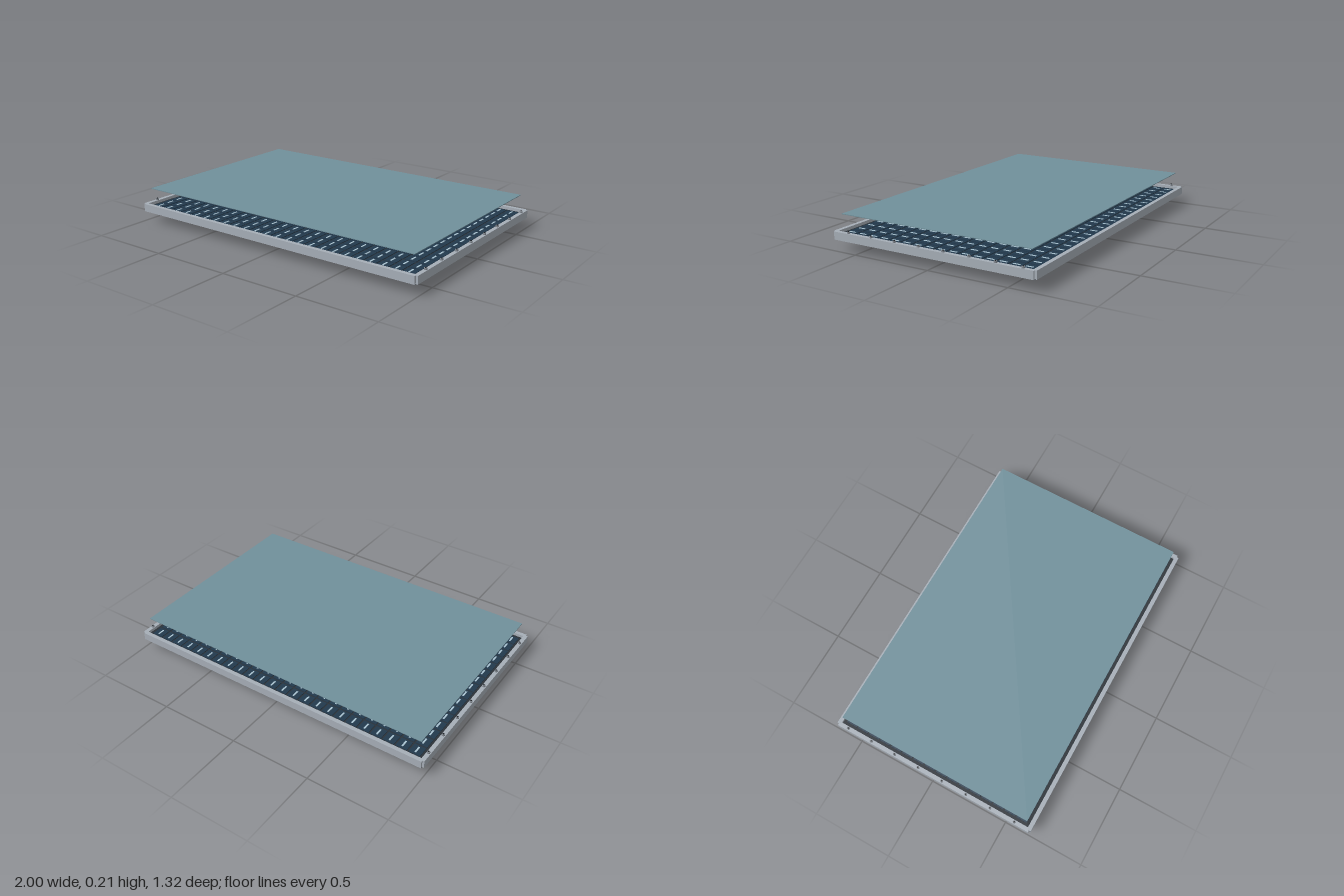
import * as THREE from 'three';
import { mergeGeometries } from 'three/addons/utils/BufferGeometryUtils.js';

const mat = (name, color) => {
  const m = new THREE.MeshStandardMaterial({ color });
  m.name = name;
  return m;
};

export function createModel() {
  const metal = mat('frame aluminium', 0xa6aeb7);
  const glass = mat('teal glass', 0x70909b);
  const dark = mat('dark backing', 0x2b3238);
  const navy = mat('navy cell', 0x22394d);
  const pale = mat('pale contact', 0xa9c3d1);
  const brown = mat('brown board', 0x5a3c26);
  const steel = mat('steel', 0x858c94);
  const black = mat('black plastic', 0x1d2125);
  const copper = mat('copper', 0xa06a3c);

  const model = new THREE.Group();
  const add = (name, geometry, material, parent = model) => {
    const mesh = new THREE.Mesh(geometry, material);
    mesh.name = name;
    parent.add(mesh);
    return mesh;
  };
  // box given by its extents along each axis
  const box = (x0, x1, y0, y1, z0, z1) =>
    new THREE.BoxGeometry(x1 - x0, y1 - y0, z1 - z0)
      .translate((x0 + x1) / 2, (y0 + y1) / 2, (z0 + z1) / 2);
  const cyl = (r, y0, y1, x, z, sides = 12) =>
    new THREE.CylinderGeometry(r, r, y1 - y0, sides).translate(x, (y0 + y1) / 2, z);

  // Raised cover glass
  add('coverGlass', box(-0.96, 0.96, 0.213, 0.217, -0.62, 0.62), glass);

  // Frame: notched outline with an open middle
  const outline = new THREE.Shape([
    [-0.988, -0.66], [0.988, -0.66], [0.988, -0.648], [1, -0.648],
    [1, 0.648], [0.988, 0.648], [0.988, 0.66], [-0.988, 0.66],
    [-0.988, 0.648], [-1, 0.648], [-1, -0.648], [-0.988, -0.648],
  ].map(([x, y]) => new THREE.Vector2(x, y)));
  outline.holes.push(new THREE.Path([
    [-0.975, -0.635], [-0.975, 0.635], [0.975, 0.635], [0.975, -0.635],
  ].map(([x, y]) => new THREE.Vector2(x, y))));
  const frame = new THREE.ExtrudeGeometry(outline, { depth: 0.048, bevelEnabled: false });
  add('frame', frame.rotateX(-Math.PI / 2).translate(0, 0.07, 0), metal);

  // Backing plate and the bed that carries the cells
  add('backPlate', box(-0.988, 0.988, 0.067, 0.0705, -0.652, 0.652), dark);
  add('cellBed', box(-0.975, 0.975, 0.07, 0.1, -0.635, 0.635), dark);

  // Grid of cells, each with a pale contact strip
  const cells = [];
  const contacts = [];
  const cols = 24, rows = 16, px = 1.92 / cols, pz = 1.24 / rows;
  for (let i = 0; i < cols; i++) {
    for (let j = 0; j < rows; j++) {
      const x = -0.96 + px * (i + 0.5), z = -0.62 + pz * (j + 0.5);
      cells.push(box(x - 0.035, x + 0.035, 0.1, 0.104, z - 0.034, z + 0.034));
      contacts.push(box(x - 0.005, x + 0.005, 0.104, 0.106, z - 0.022, z + 0.022));
    }
  }
  add('cells', mergeGeometries(cells), navy);
  add('cellContacts', mergeGeometries(contacts), pale);

  // Screws along both side rails
  for (const side of [-1, 1]) {
    const heads = [], sockets = [];
    for (let k = 0; k < 8; k++) {
      const z = 0.552 - k * 0.162;
      heads.push(cyl(0.009, 0.118, 0.128, side * 0.987, z));
      sockets.push(cyl(0.005, 0.128, 0.13, side * 0.987, z, 6));
    }
    add(side < 0 ? 'rightScrews' : 'leftScrews', mergeGeometries(heads), steel);
    add('screwSockets', mergeGeometries(sockets), black);
  }

  // Four slotted mounting feet under the backing
  const pill = (length, radius) => {
    const s = new THREE.Shape();
    s.absarc(length / 2 - radius, 0, radius, -Math.PI / 2, Math.PI / 2, false);
    s.absarc(-length / 2 + radius, 0, radius, Math.PI / 2, Math.PI * 1.5, false);
    return s;
  };
  const pillBlock = (length, radius, y0, y1) =>
    new THREE.ExtrudeGeometry(pill(length, radius), { depth: y1 - y0, bevelEnabled: false, curveSegments: 8 })
      .rotateX(-Math.PI / 2).translate(0, y0, 0);
  for (const x of [-0.75, 0.75]) {
    for (const z of [-0.51, 0.51]) {
      const foot = new THREE.Group();
      foot.name = 'mountingFoot';
      foot.position.set(x, 0, z);
      model.add(foot);
      add('footBase', pillBlock(0.11, 0.02, 0.06, 0.068), steel, foot);
      add('footSlot', pillBlock(0.07, 0.011, 0.055, 0.06), black, foot);
      for (const s of [-1, 1]) add('footScrew', cyl(0.008, 0.056, 0.06, s * 0.044, 0), metal, foot);
    }
  }

  // Control board hanging below
  const board = new THREE.Group();
  board.name = 'controlBoard';
  model.add(board);
  add('boardPlate', box(0.375, 0.71, 0.019, 0.023, 0.22, 0.455), brown, board);
  for (const x of [0.39, 0.697]) {
    for (const z of [0.24, 0.441]) {
      add('boardPost', cyl(0.006, 0.003, 0.028, x, z, 8), steel, board);
      add('postCollar', cyl(0.01, 0.015, 0.019, x, z, 8), copper, board);
    }
  }
  add('pinHeader', box(0.38, 0.388, 0.023, 0.053, 0.334, 0.346), steel, board);

  // Two connectors on the back edge of the board
  for (const x of [0.45, 0.635]) {
    add('connectorBody', box(x - 0.05, x + 0.05, 0.013, 0.041, 0.225, 0.25), black, board);
    add('connectorShell', box(x - 0.04, x + 0.04, 0.018, 0.036, 0.218, 0.226), steel, board);
    add('connectorMouth', box(x - 0.032, x + 0.032, 0.022, 0.032, 0.216, 0.219), black, board);
    for (const s of [-1, 1]) add('connectorScrew', box(x + s * 0.046 - 0.005, x + s * 0.046 + 0.005, 0.022, 0.032, 0.22, 0.226), steel, board);
  }

  // Chips on top of the board, solder rows beneath
  for (const z of [0.29, 0.393]) {
    add('chip', box(0.48, 0.6, 0.023, 0.03, z - 0.02, z + 0.02), black, board);
    const solder = [];
    for (let i = 0; i < 8; i++)
      for (const s of [-1, 1]) solder.push(box(0.484 + i * 0.015, 0.49 + i * 0.015, 0.0175, 0.019, z + s * 0.022 - 0.003, z + s * 0.022 + 0.003));
    add('solderRows', mergeGeometries(solder), copper, board);
  }

  // Stand the lowest post exactly on the ground
  const lowest = new THREE.Box3().setFromObject(model).min.y;
  model.children.forEach((part) => { part.position.y -= lowest; });
  return model;
}
